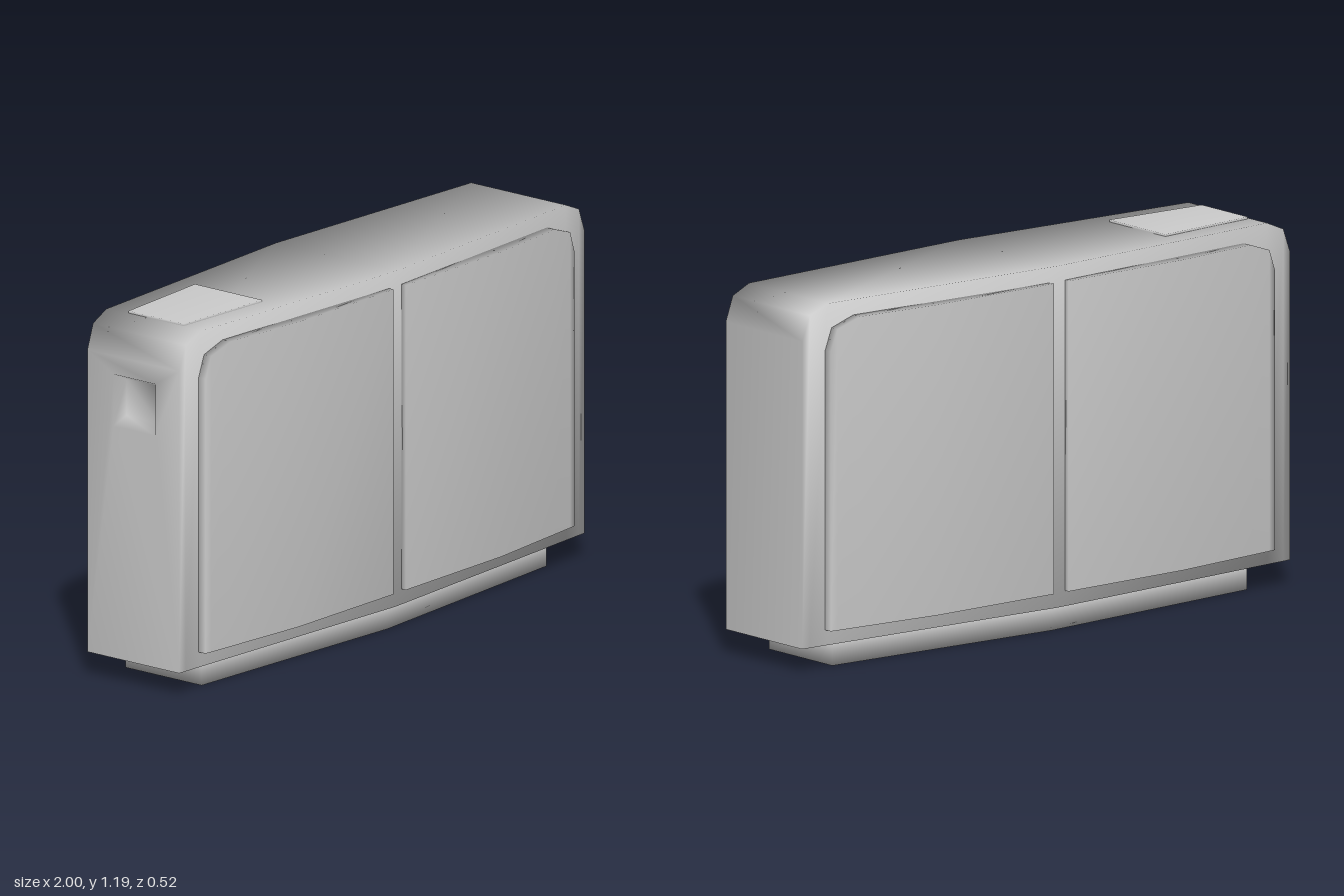
import * as THREE from 'three';

const material = new THREE.MeshStandardMaterial({ color: 0xcccccc });

// Smooth loft along x through rectangular sections [x, yLow, yHigh, zBack, zFront]
function loft(name, sections) {
  const position = [];
  const index = [];
  for (const [x, y0, y1, zb, zf] of sections) {
    position.push(x, y0, zf, x, y0, zb, x, y1, zb, x, y1, zf);
  }
  for (let i = 0; i < sections.length - 1; i++) {
    for (let k = 0; k < 4; k++) {
      const a = i * 4 + k;
      const b = i * 4 + (k + 1) % 4;
      index.push(a, b, a + 4, b, b + 4, a + 4);
    }
  }
  const n = (sections.length - 1) * 4;
  index.push(0, 2, 1, 0, 3, 2, n, n + 1, n + 2, n, n + 2, n + 3);
  const geometry = new THREE.BufferGeometry();
  geometry.setAttribute('position', new THREE.Float32BufferAttribute(position, 3));
  geometry.setIndex(index);
  geometry.computeVertexNormals();
  const mesh = new THREE.Mesh(geometry, material);
  mesh.name = name;
  return mesh;
}

// Half depth of the casing, tapering from the middle to the ends
const bodyDepth = (x) => 0.244 - 0.057 * Math.abs(x);

export function createModel() {
  const group = new THREE.Group();
  group.name = 'cabinet';

  // Casing with cut top corners; the first two sections sink a grip into the -x end
  const outline = [[-1, 1.07], [-0.97, 1.15], [-0.9, 1.18], [0, 1.18], [0.9, 1.18], [0.97, 1.15], [1, 1.07]];
  group.add(loft('casing', [
    [-0.96, 0.87, 0.99, -0.06, 0.07],
    [-1, 0.84, 1.01, -0.08, 0.09],
    ...outline.map(([x, top]) => [x, 0.08, top, -bodyDepth(x), bodyDepth(x)]),
  ]));

  // Plinth
  group.add(loft('plinth', [[-0.85, 0.155], [0, 0.21], [0.85, 0.155]]
    .map(([x, z]) => [x, 0, 0.085, -z, z])));

  // Bowed panels, two on the front and two on the back: [x, top, outer z]
  const panel = [[0.03, 1.13, 0.26], [0.5, 1.13, 0.258], [0.8, 1.13, 0.231], [0.885, 1.1, 0.223], [0.91, 1.03, 0.22]];
  for (const side of [1, -1]) {
    const stations = side > 0 ? panel : panel.map(([x, y, z]) => [-x, y, z]).reverse();
    for (const face of [1, -1]) {
      const name = (face > 0 ? 'front' : 'back') + (side > 0 ? 'Left' : 'Right') + 'Panel';
      group.add(loft(name, stations.map(([x, top, z]) => {
        const inner = bodyDepth(x) - 0.01;
        return face > 0 ? [x, 0.13, top, inner, z] : [x, 0.13, top, -z, -inner];
      })));
    }
  }

  // Thin plate on the roof
  group.add(loft('roofPlate', [
    [-0.89, 1.17, 1.187, -0.11, 0.115],
    [-0.53, 1.17, 1.187, -0.137, 0.137],
  ]));

  return group;
}
